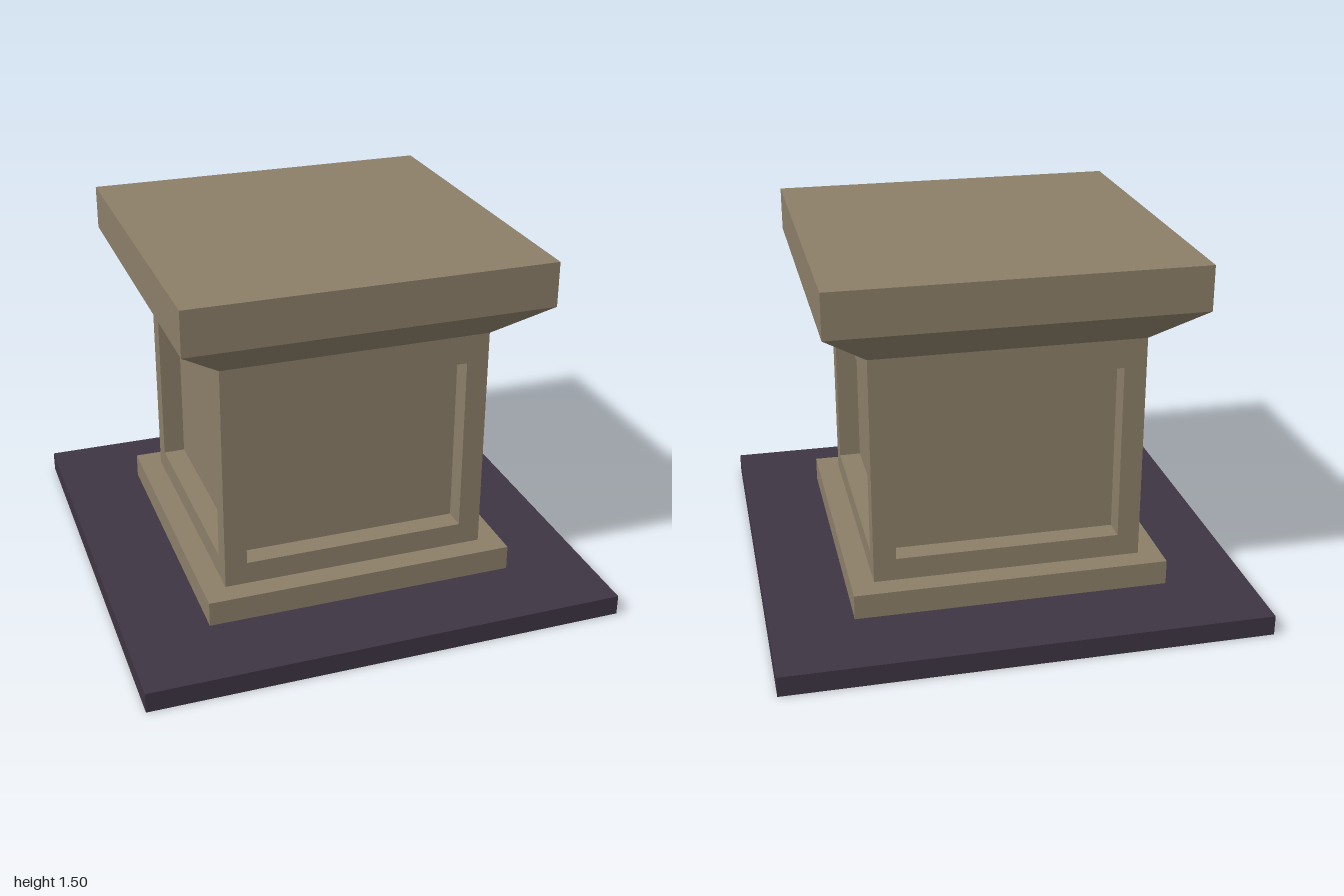
import * as THREE from 'three';

export function createModel() {
  const group = new THREE.Group();
  group.name = 'pedestal';
  const stone = new THREE.MeshStandardMaterial({ color: 0x8c7f69, flatShading: true });
  const dark = new THREE.MeshStandardMaterial({ color: 0x3e3543, flatShading: true });

  // square block of a given half width between two heights
  const block = (name, half, y0, y1, material = stone, x = 0, z = 0) => {
    const mesh = new THREE.Mesh(new THREE.BoxGeometry(half * 2, y1 - y0, half * 2), material);
    mesh.position.set(x, (y0 + y1) / 2, z);
    mesh.name = name;
    group.add(mesh);
  };

  // ground slab and stepped foot
  block('groundSlab', 1, 0, 0.085, dark);
  block('plinth', 0.655, 0.04, 0.19);

  // body: recessed core framed by rails and corner posts
  const body = 0.56, core = 0.4675;
  block('bottomRail', body, 0.19, 0.285);
  block('recessedPanels', core, 0.285, 1.035);
  block('topRail', body, 1.035, 1.155);
  const post = (body - core) / 2, at = (body + core) / 2;
  for (const x of [-at, at]) {
    for (const z of [-at, at]) block('cornerPost', post, 0.285, 1.035, stone, x, z);
  }

  // flared cornice
  const cap = 0.7475;
  const flare = new THREE.CylinderGeometry(cap * Math.SQRT2, body * Math.SQRT2, 0.16, 4, 1, true);
  flare.rotateY(Math.PI / 4);
  const cornice = new THREE.Mesh(flare, stone);
  cornice.position.y = 1.235;
  cornice.name = 'cornice';
  group.add(cornice);

  // flat top
  block('topSlab', cap, 1.315, 1.5);

  return group;
}
